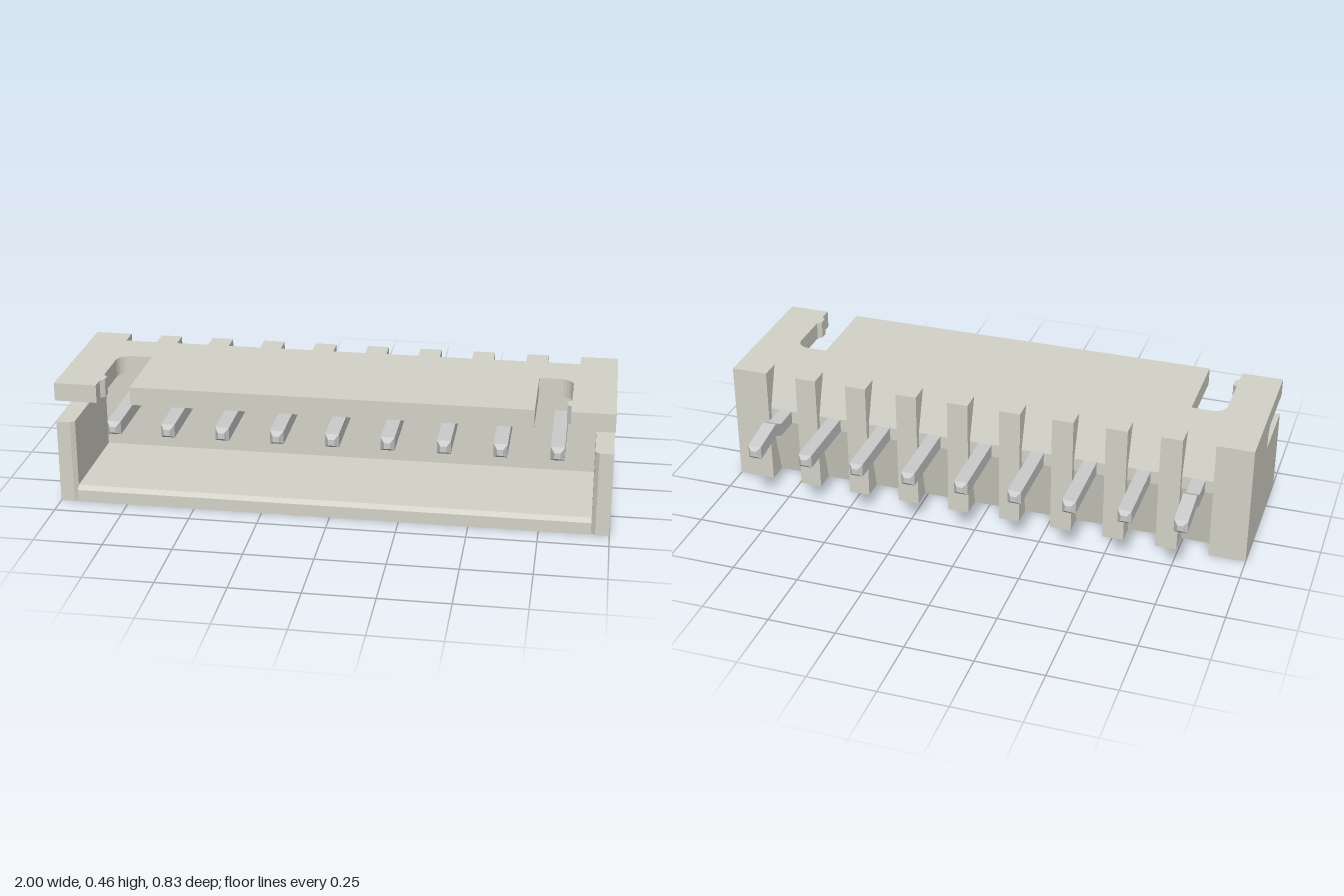
import * as THREE from 'three';

const bodyMat = new THREE.MeshStandardMaterial({ color: 0xd4d3c8, flatShading: true });
const pinMat = new THREE.MeshStandardMaterial({ color: 0xcccccc, flatShading: true });

const FRONT = 0.415, BACK = -0.143, WALL = 0.0, LIP = 0.4; // z of key planes
const TOP = 0.462, ROOF = 0.395, FLOOR = 0.06;             // heights
const PITCH = 0.201, COUNT = 9;

const toShape = (s) => (s instanceof THREE.Shape ? s : new THREE.Shape(s.map((p) => new THREE.Vector2(...p))));
const extrude = (s, depth) =>
  new THREE.ExtrudeGeometry(toShape(s), { depth, bevelEnabled: false, curveSegments: 8 });

// outline given as (z, y), running from x0 to x1
function prismX(s, x0, x1) {
  return extrude(s, x1 - x0).rotateY(-Math.PI / 2).translate(x1, 0, 0);
}
// outline given as (x, z), running from y0 to y1
function prismY(s, y0, y1) {
  return extrude(s, y1 - y0).rotateX(Math.PI / 2).translate(0, y1, 0);
}
function box(x0, x1, y0, y1, z0, z1) {
  return new THREE.BoxGeometry(x1 - x0, y1 - y0, z1 - z0)
    .translate((x0 + x1) / 2, (y0 + y1) / 2, (z0 + z1) / 2);
}

// square bar lofted through sections [z, centre y, half width]
function loftPin(sections) {
  const pos = [], idx = [];
  for (const [z, y, h] of sections) {
    pos.push(-h, y - h, z, h, y - h, z, h, y + h, z, -h, y + h, z);
  }
  const n = sections.length;
  for (let i = 0; i < n - 1; i++) {
    for (let k = 0; k < 4; k++) {
      const a = i * 4 + k, b = i * 4 + ((k + 1) % 4);
      idx.push(a, b, b + 4, a, b + 4, a + 4);
    }
  }
  const e = (n - 1) * 4;
  idx.push(0, 2, 1, 0, 3, 2, e, e + 1, e + 2, e, e + 2, e + 3);
  const g = new THREE.BufferGeometry();
  g.setAttribute('position', new THREE.Float32BufferAttribute(pos, 3));
  g.setIndex(idx);
  g.computeVertexNormals();
  return g;
}

// top plate with a latch slot near each end
function topPlateShape() {
  const s = new THREE.Shape();
  s.moveTo(-1, WALL);
  s.lineTo(1, WALL);
  s.lineTo(1, FRONT);
  const slot = [[0.845, FRONT], [0.845, 0.365], [0.83, 0.35], [0.83, 0.32], [0.845, 0.305], [0.845, 0.15]];
  for (let i = 0; i <= 6; i++) {
    const a = (i / 6) * Math.PI / 2;
    slot.push([0.795 + 0.05 * Math.cos(a), 0.15 - 0.05 * Math.sin(a)]);
  }
  slot.push([0.72, 0.1], [0.72, FRONT]);
  slot.forEach(([x, z]) => s.lineTo(x, z));
  [...slot].reverse().forEach(([x, z]) => s.lineTo(-x, z));
  s.lineTo(-1, FRONT);
  s.closePath();
  return s;
}

// side wall outline with the window open to the front
function sideWallShape() {
  const s = new THREE.Shape();
  s.moveTo(WALL, 0);
  s.lineTo(LIP, 0);
  s.lineTo(LIP, 0.313);
  s.lineTo(0.15, 0.313);
  s.lineTo(0.15, 0.35);
  s.absarc(0.195, 0.35, 0.045, Math.PI, Math.PI / 2, true);
  s.lineTo(0.195, ROOF);
  s.lineTo(WALL, ROOF);
  s.closePath();
  return s;
}

export function createModel() {
  const model = new THREE.Group();
  const housing = new THREE.Group();
  housing.name = 'housing';
  const pins = new THREE.Group();
  pins.name = 'pins';
  model.add(housing, pins);
  const add = (parent, name, geo, mat) => {
    const m = new THREE.Mesh(geo, mat);
    m.name = name;
    parent.add(m);
  };

  // shell
  add(housing, 'topPlate', prismY(topPlateShape(), ROOF, TOP), bodyMat);
  add(housing, 'bottomWall',
    prismX([[WALL, 0], [FRONT, 0], [FRONT, 0.045], [LIP, FLOOR], [WALL, FLOOR]], -0.935, 0.935), bodyMat);
  for (const side of [-1, 1]) {
    const label = side > 0 ? 'left' : 'right';
    const [a, b] = side > 0 ? [0.935, 1] : [-1, -0.935];
    add(housing, label + 'SideWall', prismX(sideWallShape(), a, b), bodyMat);
    const lip = [[0.935, LIP], [1, LIP], [1, FRONT], [0.95, FRONT]].map(([x, z]) => [x * side, z]);
    add(housing, label + 'FrontLip', prismY(lip, 0, 0.313), bodyMat);
    const [c, d] = side > 0 ? [0.863, 1] : [-1, -0.863];
    add(housing, label + 'BackCorner', box(c, d, 0, TOP, BACK, WALL), bodyMat);
  }

  // back wall, thickest at pin height, with ribs between the pins
  add(housing, 'backWall',
    prismX([[WALL, 0], [WALL, TOP], [-0.065, TOP], [-0.12, 0.3], [-0.12, 0.25], [-0.065, 0]], -0.863, 0.863), bodyMat);
  for (let i = 0; i < COUNT - 1; i++) {
    const x = (i - (COUNT - 2) / 2) * PITCH;
    add(housing, 'backRib', box(x - 0.04, x + 0.04, 0, TOP, BACK, -0.05), bodyMat);
  }

  // pins, the two end ones kinked behind the housing
  const y = 0.275, h = 0.025;
  const kink = [[-0.265, y + 0.023, h], [-0.218, y, h]];
  for (let i = 0; i < COUNT; i++) {
    const end = i === 0 || i === COUNT - 1;
    const geo = loftPin([
      [-0.415, y, 0.011], [-0.4, y, h], ...(end ? kink : []), [0.35, y, h], [0.372, y, 0.011],
    ]);
    geo.translate((i - (COUNT - 1) / 2) * PITCH, 0, 0);
    add(pins, end ? 'kinkedPin' : 'straightPin', geo, pinMat);
  }
  return model;
}
